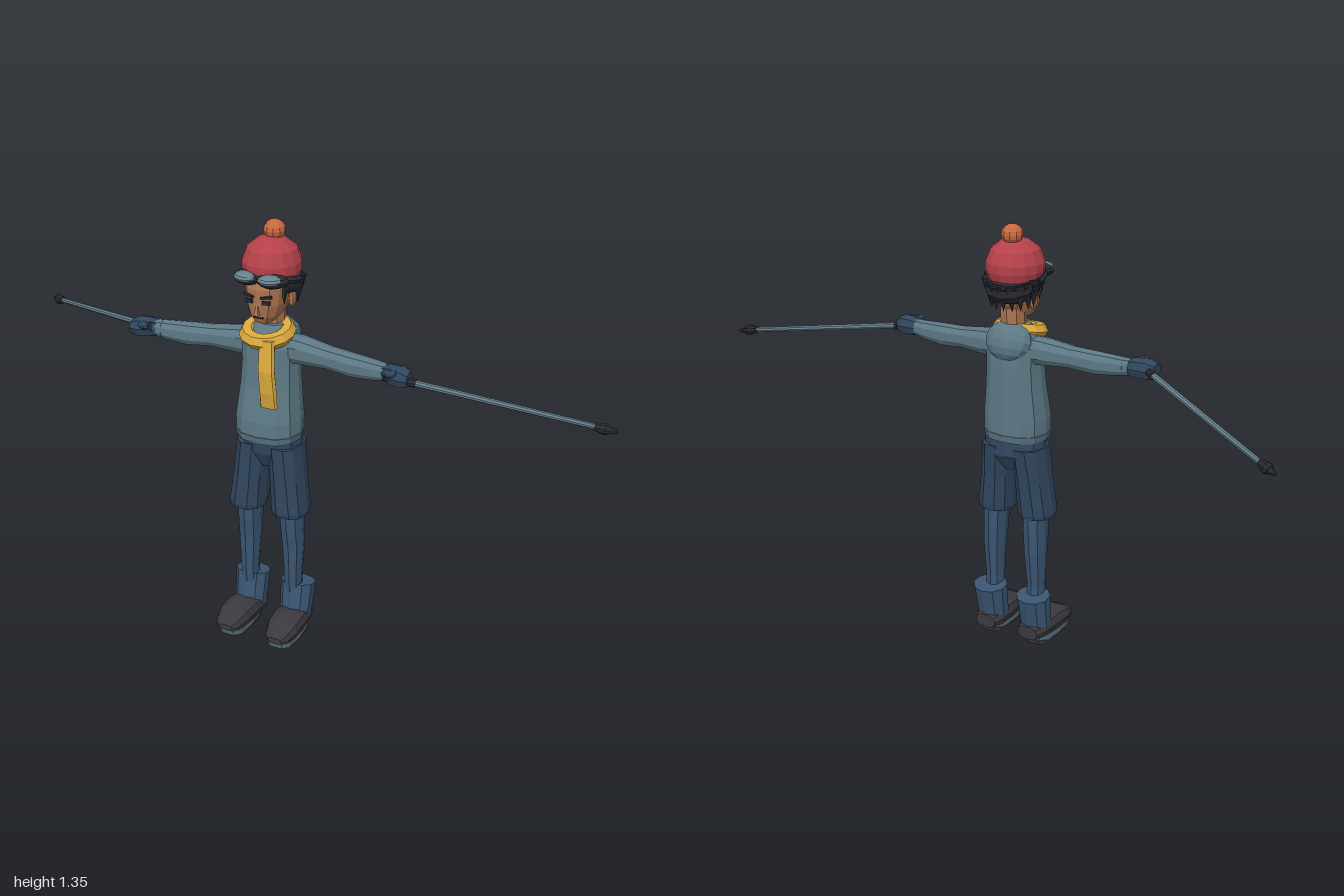
import * as THREE from 'three';

const mat = (name, color) => {
  const m = new THREE.MeshStandardMaterial({ color });
  m.name = name;
  return m;
};

// Closed skin through elliptical rings [t, a, b, ra, rb] stacked along an axis.
// axis y: a = x, b = z; axis x: a = y, b = z; axis z: a = x, b = y.
function loft(axis, rings, n = 10, power = 0.85) {
  const place = { y: (t, a, b) => [a, t, b], x: (t, a, b) => [t, a, b], z: (t, a, b) => [a, b, t] }[axis];
  const soft = v => Math.sign(v) * Math.abs(v) ** power;
  const point = ([t, a, b, ra, rb], i) => {
    const w = (i % n) / n * Math.PI * 2;
    return place(t, a + soft(Math.cos(w)) * ra, b + soft(Math.sin(w)) * rb);
  };
  const tris = [];
  const first = rings[0], last = rings[rings.length - 1];
  for (let i = 0; i < n; i++) {
    for (let r = 0; r < rings.length - 1; r++) {
      const p = point(rings[r], i), q = point(rings[r], i + 1);
      const u = point(rings[r + 1], i), v = point(rings[r + 1], i + 1);
      tris.push([p, q, v], [p, v, u]);
    }
    tris.push([place(...first), point(first, i + 1), point(first, i)]);
    tris.push([place(...last), point(last, i), point(last, i + 1)]);
  }
  // Turn the skin outward if its enclosed volume is negative
  let volume = 0;
  for (const [a, b, c] of tris) {
    volume += new THREE.Vector3(...a).dot(new THREE.Vector3(...b).cross(new THREE.Vector3(...c)));
  }
  if (volume < 0) tris.forEach(t => t.reverse());
  const g = new THREE.BufferGeometry();
  g.setAttribute('position', new THREE.Float32BufferAttribute(tris.flat(2), 3));
  return g;
}

export function createModel() {
  const M = {
    jacket: mat('jacket slate', 0x5d7985),
    shorts: mat('shorts navy', 0x31475f),
    boot: mat('boot blue', 0x3b5673),
    hat: mat('hat red', 0xb5414a),
    pompom: mat('pompom orange', 0xc9683f),
    skin: mat('skin', 0xad7651),
    scarf: mat('scarf yellow', 0xdba93c),
    hair: mat('hair black', 0x292b33),
    shoe: mat('shoe charcoal', 0x3b393f),
    steel: mat('steel blue', 0x68838f),
  };
  const model = new THREE.Group();
  model.name = 'skier';
  const body = new THREE.Group();
  body.name = 'body';
  body.position.x = -0.035;
  model.add(body);

  // Adds a faceted mesh
  const add = (name, geo, material, pos = [0, 0, 0], rot = [0, 0, 0], scale = [1, 1, 1], parent = body) => {
    const g = geo.index ? geo.toNonIndexed() : geo;
    g.computeVertexNormals();
    const mesh = new THREE.Mesh(g, material);
    mesh.name = name;
    mesh.position.set(...pos);
    mesh.rotation.set(...rot);
    mesh.scale.set(...scale);
    parent.add(mesh);
    return mesh;
  };
  const ball = (w = 10, h = 8) => new THREE.SphereGeometry(1, w, h);
  const box = (w, h, d) => new THREE.BoxGeometry(w, h, d);

  // Jacket, hem and hood
  add('jacket', loft('y', [
    [0.70, 0, 0.07, 0.102, 0.088], [0.75, 0, 0.069, 0.102, 0.088], [0.85, 0, 0.06, 0.092, 0.078],
    [0.92, 0, 0.056, 0.088, 0.074], [0.98, 0, 0.056, 0.09, 0.07], [1.015, 0, 0.055, 0.075, 0.058],
    [1.045, 0, 0.05, 0.05, 0.045],
  ], 12), M.jacket);
  add('jacketHem', loft('y', [[0.682, 0, 0.07, 0.099, 0.086], [0.705, 0, 0.07, 0.105, 0.091]], 12), M.jacket);
  add('hood', ball(12, 8), M.jacket, [0, 0.998, 0.015], [0.35, 0, 0], [0.078, 0.062, 0.042]);

  // Scarf loop and hanging end
  add('scarfLoop', new THREE.TorusGeometry(0.06, 0.025, 6, 14), M.scarf,
    [0, 1.02, 0.083], [Math.PI / 2 + 0.2, 0, 0], [1, 1, 0.95]);
  add('scarfEnd', loft('y', [
    [0.81, 0.04, 0.155, 0.028, 0.008], [0.86, 0.04, 0.16, 0.028, 0.012],
    [0.93, 0.036, 0.163, 0.027, 0.013], [1.02, 0.03, 0.145, 0.024, 0.014],
  ], 8, 0.6), M.scarf);

  // Neck, head and face
  add('neck', loft('y', [[1.01, 0, 0.045, 0.036, 0.038], [1.1, 0, 0.045, 0.038, 0.042]], 8), M.skin);
  add('head', loft('y', [
    [1.063, 0, 0.09, 0.028, 0.042], [1.085, 0, 0.08, 0.046, 0.062], [1.12, 0, 0.073, 0.058, 0.075],
    [1.17, 0, 0.067, 0.064, 0.083], [1.22, 0, 0.055, 0.06, 0.08],
  ], 12, 0.8), M.skin);
  add('nose', new THREE.ConeGeometry(0.011, 0.04, 4), M.skin, [0, 1.113, 0.148], [-0.15, Math.PI / 4, 0]);
  add('mouth', box(0.03, 0.004, 0.008), M.hair, [0, 1.083, 0.139]);
  for (const s of [-1, 1]) {
    add('eye', box(0.024, 0.011, 0.008), M.hair, [s * 0.027, 1.133, 0.1435], [0, s * 0.24, 0]);
    add('eyebrow', box(0.034, 0.007, 0.009), M.hair, [s * 0.028, 1.15, 0.1455], [0, s * 0.24, s * 0.15]);
    add('ear', ball(8, 6), M.skin, [s * 0.064, 1.125, 0.05], [0, 0, 0], [0.012, 0.03, 0.018]);
    add('sideburn', new THREE.ConeGeometry(0.014, 0.06, 5), M.hair, [s * 0.06, 1.145, 0.092], [Math.PI, 0, 0]);
  }

  // Hair under the hat with jagged locks round the back
  add('hair', ball(12, 8), M.hair, [0, 1.172, 0.042], [-0.38, 0, 0], [0.09, 0.052, 0.09]);
  for (let i = 0; i < 9; i++) {
    const w = (i - 4) * 0.38, back = Math.cos(w);
    add('hairLock', new THREE.ConeGeometry(0.025, 0.085, 5), M.hair,
      [Math.sin(w) * 0.073, 1.15 - back * 0.015, 0.04 - back * 0.058], [Math.PI - back * 0.15, 0, 0]);
  }

  // Hat and pompom
  const hatProfile = [[0, 1.18], [0.084, 1.185], [0.092, 1.21], [0.092, 1.235], [0.077, 1.272], [0.045, 1.297], [0, 1.306]];
  add('hat', new THREE.LatheGeometry(hatProfile.map(p => new THREE.Vector2(...p)), 14), M.hat,
    [0, 0, 0.052], [0, 0, 0], [0.96, 1, 1]);
  add('pompom', ball(10, 8), M.pompom, [0, 1.318, 0.034], [0, 0, 0], [0.033, 0.031, 0.033]);

  // Goggles pushed up on the hat
  add('goggleStrap', new THREE.TorusGeometry(0.09, 0.009, 5, 18), M.hair,
    [0, 1.187, 0.053], [Math.PI / 2 - 0.2, 0, 0], [0.97, 1, 1.2]);
  for (const s of [-1, 1]) {
    add('goggleFrame', ball(10, 6), M.hair, [s * 0.042, 1.198, 0.13], [0, s * 0.4, 0], [0.047, 0.021, 0.034]);
    add('goggleLens', ball(10, 6), M.steel, [s * 0.04, 1.204, 0.144], [0, s * 0.4, 0], [0.037, 0.015, 0.031]);
  }

  // Shorts
  add('shortsSeat', loft('y', [
    [0.585, 0, 0.06, 0.03, 0.045], [0.635, 0, 0.058, 0.1, 0.071], [0.7, 0, 0.062, 0.096, 0.07],
  ], 12), M.shorts);

  for (const s of [-1, 1]) {
    const side = s > 0 ? 'left' : 'right';
    // Sleeve, wrist cuff and glove
    add(side + 'Sleeve', loft('x', [
      [s * 0.04, 0.97, 0.055, 0.045, 0.046], [s * 0.1, 0.97, 0.058, 0.043, 0.042], [s * 0.19, 0.966, 0.065, 0.034, 0.034],
      [s * 0.27, 0.96, 0.072, 0.036, 0.032], [s * 0.345, 0.961, 0.078, 0.03, 0.028], [s * 0.36, 0.962, 0.079, 0.027, 0.025],
    ]), M.jacket);
    add(side + 'SleeveCuff', loft('x', [[s * 0.355, 0.962, 0.08, 0.028, 0.026], [s * 0.378, 0.963, 0.081, 0.026, 0.024]]), M.jacket);
    add(side + 'Glove', loft('x', [
      [s * 0.37, 0.963, 0.082, 0.023, 0.022], [s * 0.395, 0.963, 0.086, 0.031, 0.031],
      [s * 0.43, 0.962, 0.092, 0.032, 0.034], [s * 0.455, 0.96, 0.095, 0.022, 0.025],
    ], 8), M.shorts);
    add(side + 'Thumb', ball(6, 5), M.shorts, [s * 0.405, 0.978, 0.118], [0, s * 0.4, 0], [0.026, 0.013, 0.013]);

    // Shorts leg and lower leg
    add(side + 'ShortsLeg', loft('y', [
      [0.432, s * 0.072, 0.073, 0.055, 0.06], [0.445, s * 0.072, 0.073, 0.057, 0.063],
      [0.55, s * 0.062, 0.068, 0.053, 0.065], [0.66, s * 0.052, 0.06, 0.05, 0.072],
    ]), M.shorts);
    add(side + 'LowerLeg', loft('y', [
      [0.1, s * 0.076, 0.058, 0.027, 0.03], [0.2, s * 0.076, 0.064, 0.027, 0.032], [0.31, s * 0.075, 0.06, 0.033, 0.04],
      [0.38, s * 0.073, 0.063, 0.034, 0.047], [0.47, s * 0.071, 0.065, 0.036, 0.048],
    ], 8), M.boot);

    // Boot cuff, shoe and binding plates
    add(side + 'BootCuff', new THREE.CylinderGeometry(0.056, 0.05, 0.125, 10), M.boot,
      [s * 0.08, 0.106, 0.049], [-0.18, 0, 0], [1, 1, 0.92]);
    add(side + 'Shoe', loft('z', [
      [0.005, s * 0.079, 0.046, 0.036, 0.022], [0.04, s * 0.08, 0.052, 0.05, 0.032], [0.11, s * 0.083, 0.057, 0.054, 0.038],
      [0.165, s * 0.086, 0.055, 0.052, 0.034], [0.205, s * 0.087, 0.048, 0.04, 0.022], [0.22, s * 0.087, 0.044, 0.024, 0.01],
    ], 10, 0.75), M.shoe);
    add(side + 'Sole', loft('y', [[0.01, s * 0.085, 0.122, 0.042, 0.085], [0.033, s * 0.085, 0.122, 0.047, 0.097]], 10, 0.6), M.steel);
    add(side + 'BindingPlate', loft('y', [[0, s * 0.085, 0.112, 0.038, 0.082], [0.012, s * 0.085, 0.112, 0.038, 0.084]], 10, 0.5), M.shoe);
  }

  // Ski poles: shaft, grip, basket and tip along one line each
  const pole = (name, from, to) => {
    const a = new THREE.Vector3(...from), b = new THREE.Vector3(...to);
    const length = a.distanceTo(b);
    const group = new THREE.Group();
    group.name = name;
    group.position.copy(a);
    group.quaternion.setFromUnitVectors(new THREE.Vector3(0, 1, 0), b.clone().sub(a).normalize());
    const part = (label, r0, r1, start, end, material) => add(label, new THREE.CylinderGeometry(r1, r0, end - start, 8),
      material, [0, (start + end) / 2, 0], [0, 0, 0], [1, 1, 1], group);
    part('poleShaft', 0.01, 0.008, 0, length - 0.02, M.steel);
    part('poleGrip', 0.014, 0.013, -0.045, 0.05, M.hair);
    part('poleBasket', 0.011, 0.018, length - 0.065, length - 0.035, M.hair);
    part('poleBasketRim', 0.018, 0.012, length - 0.035, length - 0.022, M.hair);
    part('poleTip', 0.01, 0.005, length - 0.022, length, M.hair);
    model.add(group);
  };
  pole('rightPole', [-0.455, 0.965, 0.085], [-0.995, 0.853, -0.215]);
  pole('leftPole', [0.39, 0.957, 0.1], [0.998, 0.872, -0.018]);

  return model;
}
